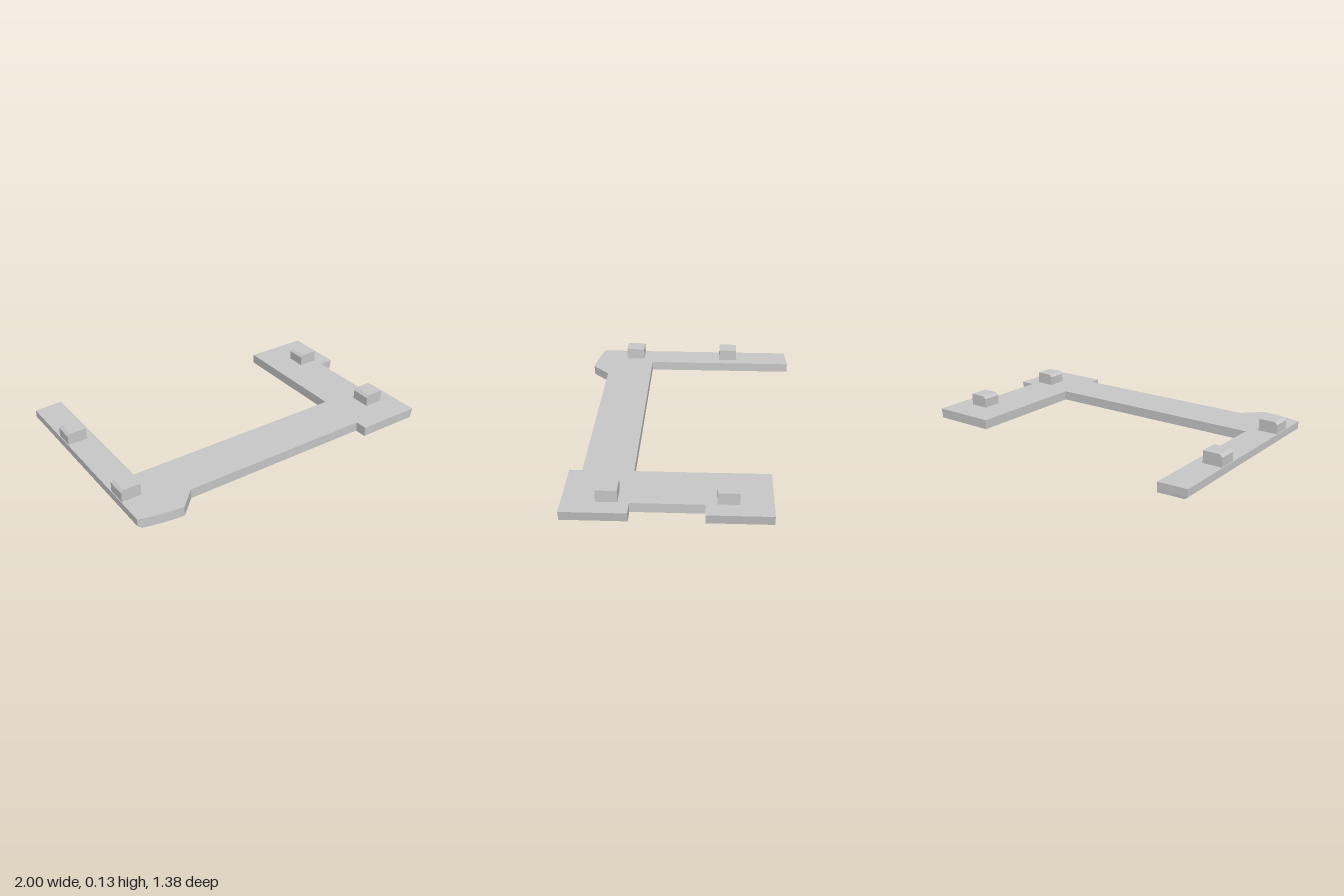
import * as THREE from 'three';

const HEIGHT = 0.06;

// Extrude a plan shape upwards (plan y is -z)
function extrudeUp(shape, depth, steps) {
  return new THREE.ExtrudeGeometry(shape, { depth, steps, bevelEnabled: false, curveSegments: 8 }).rotateX(-Math.PI / 2);
}

// Flat frame: two side arms joined by a wide cross bar
function makeFrame(material) {
  const shape = new THREE.Shape();
  shape.moveTo(-1, -0.643);
  shape.quadraticCurveTo(-0.88, -0.68, -0.737, -0.691);
  [
    [-0.627, -0.581], [0.595, -0.581], [0.595, -0.656], [1, -0.656],
    [1, -0.28], [0.905, -0.28], [0.905, 0.138], [1, 0.138],
    [1, 0.512], [0.595, 0.512], [0.595, -0.28], [-0.82, -0.28],
    [-0.82, 0.691], [-1, 0.679],
  ].forEach(([x, y]) => shape.lineTo(x, y));
  shape.closePath();

  const geometry = extrudeUp(shape, HEIGHT, 4);
  // Chamfer the lower left edge and slant the right edge inwards
  const p = geometry.attributes.position;
  for (let i = 0; i < p.count; i++) {
    const x = p.getX(i), y = p.getY(i);
    if (x < -0.995 && y < 0.001) p.setX(i, -0.98);
    if (x > 0.995) p.setX(i, 1 - 0.01 * (1 - y / HEIGHT));
  }
  geometry.computeVertexNormals();
  const mesh = new THREE.Mesh(geometry, material);
  mesh.name = 'frame';
  return mesh;
}

// Block with its upper left edge chamfered, profile drawn in x and y
function makePegGeometry() {
  const w = 0.12, h = 0.074, c = 0.017, d = 0.122;
  const shape = new THREE.Shape([
    [0, 0], [w, 0], [w, h], [c, h], [0, h - c],
  ].map(([x, y]) => new THREE.Vector2(x, y)));
  return new THREE.ExtrudeGeometry(shape, { depth: d, bevelEnabled: false }).translate(0, 0, -d / 2);
}

export function createModel() {
  const model = new THREE.Group();
  model.name = 'bracketFrame';
  const grey = new THREE.MeshStandardMaterial({ color: 0xc8c8c8 });
  grey.name = 'lightGrey';
  model.add(makeFrame(grey));

  // Four locating pegs, two on each arm
  const pegGeometry = makePegGeometry();
  for (const [side, x] of [['right', -0.995], ['left', 0.78]]) {
    for (const [end, z] of [['Front', 0.405], ['Back', -0.263]]) {
      const peg = new THREE.Mesh(pegGeometry, grey);
      peg.name = side + end + 'Peg';
      peg.position.set(x, HEIGHT, z);
      model.add(peg);
    }
  }
  return model;
}
